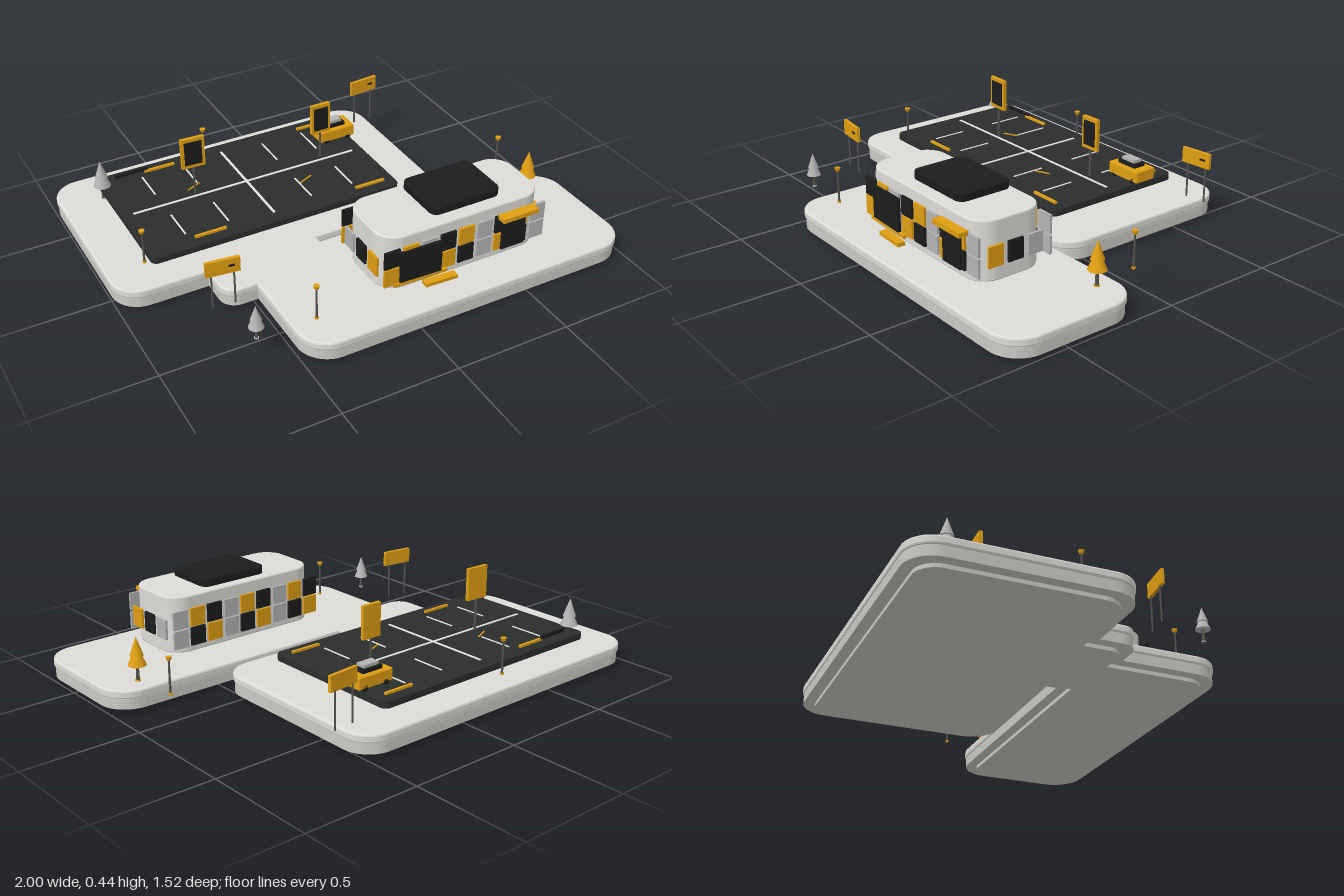
import * as THREE from 'three';

const mat = (color) => new THREE.MeshStandardMaterial({ color });
const gold = mat(0xe09f12), dark = mat(0x1c1c1c), asphalt = mat(0x2b2d2d), grey = mat(0xb4b4b4);
const white = mat(0xe4e4e0), stone = mat(0xdedcd8), stoneLow = mat(0xcccac5), metal = mat(0x55534e);

export function createModel() {
  const root = new THREE.Group();

  const add = (name, geometry, material, x = 0, y = 0, z = 0, parent = root) => {
    const m = new THREE.Mesh(geometry, material);
    m.name = name;
    m.position.set(x, y, z);
    parent.add(m);
    return m;
  };
  const box = (name, material, w, h, d, x, y, z, parent) =>
    add(name, new THREE.BoxGeometry(w, h, d), material, x, y, z, parent);
  const group = (name, x, y, z, turn = 0) => {
    const g = new THREE.Group();
    g.name = name;
    g.position.set(x, y, z);
    g.rotation.y = turn;
    root.add(g);
    return g;
  };

  // Rounded plan outline from corners [x, z, radius], extruded upward
  const slab = (corners, y0, y1, bevel = 0) => {
    const s = new THREE.Shape(), n = corners.length;
    corners.forEach(([x, z, r], i) => {
      const c = new THREE.Vector2(x, -z);
      const toward = (k, d) => {
        const [qx, qz] = corners[(i + k + n) % n];
        return new THREE.Vector2(qx, -qz).sub(c).setLength(d).add(c);
      };
      const a = toward(-1, r), b = toward(1, r), a2 = toward(-1, r * 0.45), b2 = toward(1, r * 0.45);
      i ? s.lineTo(a.x, a.y) : s.moveTo(a.x, a.y);
      if (r > 0) s.bezierCurveTo(a2.x, a2.y, b2.x, b2.y, b.x, b.y);
    });
    s.closePath();
    const g = new THREE.ExtrudeGeometry(s, {
      depth: y1 - y0 - 2 * bevel, curveSegments: 12, bevelEnabled: bevel > 0,
      bevelSize: bevel, bevelThickness: bevel, bevelOffset: -bevel, bevelSegments: 2,
    });
    return g.rotateX(-Math.PI / 2).translate(0, y0 + bevel, 0);
  };
  const rect = (x0, x1, z0, z1, r) => [[x0, z0, r], [x1, z0, r], [x1, z1, r], [x0, z1, r]];

  // Base: two offset terraces joined by a short neck
  const plan = [
    [-1, -0.765, 0.12], [0.53, -0.765, 0.12], [0.53, 0.12, 0.12], [-0.135, 0.12, 0], [-0.135, 0.155, 0],
    [1, 0.155, 0.13], [1, 0.755, 0.13], [-0.49, 0.755, 0.13], [-0.49, 0.29, 0], [-0.63, 0.29, 0.07],
    [-0.63, 0.12, 0], [-1, 0.12, 0.12],
  ];
  const inset = (pts, d) => pts.map(([x, z, r], i) => {
    let px = x, pz = z;
    for (const [a, b] of [[pts.at(i - 1), pts[i]], [pts[i], pts[(i + 1) % pts.length]]]) {
      px -= d * Math.sign(b[1] - a[1]);
      pz += d * Math.sign(b[0] - a[0]);
    }
    return [px, pz, r * 0.75];
  });
  add('baseFoot', slab(inset(plan, 0.05), 0, 0.02), stoneLow);
  add('baseLower', slab(inset(plan, 0.004).map((p, i) => [p[0], p[1], plan[i][2]]), 0.016, 0.06), stoneLow);
  add('baseTop', slab(plan, 0.06, 0.097, 0.008), stone);

  // Parking lot with painted lines and wheel stops
  add('parkingLot', slab(rect(-0.82, 0.335, -0.655, 0.015, 0.03), 0.122, 0.152, 0.003), asphalt);
  box('laneLine', white, 0.011, 0.004, 0.545, -0.245, 0.153, -0.32);
  box('laneLine', white, 1.055, 0.004, 0.011, -0.243, 0.153, -0.32);
  for (const x of [-0.635, -0.44, -0.05, 0.15])
    for (const z of [-0.49, -0.16]) box('bayLine', white, 0.007, 0.004, 0.155, x, 0.153, z);
  for (const x of [-0.54, 0.215])
    for (const z of [-0.6, 0.04 - 0.08]) box('wheelStop', gold, 0.14, 0.01, 0.012, x, 0.157, z);
  box('barrier', dark, 0.15, 0.014, 0.012, -0.67, 0.167, -0.605).rotation.y = 0.03;
  for (const [x, z] of [[-0.465, -0.39], [-0.01, -0.21]])
    box('groundArrow', gold, 0.07, 0.004, 0.006, x, 0.154, z).rotation.y = 0.42;

  // Building
  add('buildingBody', slab(rect(-0.105, 0.637, 0.305, 0.615, 0.09), 0.125, 0.37, 0.006), stone);
  add('roofUnit', slab(rect(0.14, 0.46, 0.325, 0.57, 0.035), 0.378, 0.412, 0.004), dark);
  const upper = [dark, gold, grey], lower = [gold, dark, grey];
  for (let i = 0; i < 9; i++)
    for (const z of [0.288, 0.62]) {
      const x = -0.072 + i * 0.085;
      box('upperPanel', upper[i % 3], 0.07, 0.078, 0.01, x, 0.282, z);
      box('lowerPanel', lower[i % 3], 0.07, 0.078, 0.01, x, 0.198, z);
    }
  [grey, dark, gold].forEach((m, i) => {
    for (const x of [-0.114, 0.647]) box('sidePanel', m, 0.01, 0.085, 0.068, x, 0.234, 0.367 + i * 0.091);
  });

  // Shop window, step, door and awning on the front
  box('windowSill', gold, 0.24, 0.014, 0.015, 0.055, 0.156, 0.626).rotation.y = -0.03;
  box('shopWindow', dark, 0.185, 0.14, 0.014, 0.052, 0.236, 0.63).rotation.y = -0.04;
  box('frontStep', gold, 0.142, 0.016, 0.033, 0.128, 0.142, 0.658).rotation.y = -0.05;
  box('door', dark, 0.11, 0.148, 0.012, 0.488, 0.234, 0.628);
  box('awning', gold, 0.168, 0.02, 0.043, 0.498, 0.32, 0.643);

  // Car
  const car = group('car', 0.267, 0, -0.478);
  add('carBody', slab(rect(-0.087, 0.087, -0.052, 0.052, 0.006), 0.162, 0.215, 0.005), gold, 0, 0, 0, car);
  box('carCabin', dark, 0.1, 0.018, 0.06, -0.002, 0.223, 0, car);
  box('carRoof', grey, 0.075, 0.014, 0.042, -0.002, 0.238, 0, car);
  for (const x of [-0.055, 0.055])
    for (const z of [-0.045, 0.045])
      add('wheel', new THREE.CylinderGeometry(0.014, 0.014, 0.014, 12).rotateX(Math.PI / 2), dark, x, 0.165, z, car);

  // Upright billboards standing on the lot
  for (const [x, z, top, turn, w] of [[-0.482, -0.333, 0.437, -0.05, 0.105], [0.138, -0.353, 0.418, 0.02, 0.092]]) {
    const b = group('billboard', x, 0, z, turn);
    box('billboardPanel', gold, w, 0.142, 0.016, 0, top - 0.071, 0, b);
    box('billboardFace', dark, w * 0.74, 0.11, 0.004, 0, top - 0.071, 0.009, b);
    add('billboardPost', new THREE.CylinderGeometry(0.005, 0.005, top - 0.285, 8), metal, 0, (top + 0.015) / 2, 0, b);
  }

  // Two-legged sign boards
  for (const [x, z, turn] of [[-0.66, 0.352, -0.12], [0.51, -0.618, 0.1]]) {
    const s = group('signBoard', x, 0, z, turn);
    box('signPanel', gold, 0.14, 0.066, 0.014, 0, 0.285, 0, s);
    box('signMark', dark, 0.026, 0.009, 0.004, 0.035, 0.287, 0.007, s);
    for (const lx of [-0.046, 0.046])
      add('signLeg', new THREE.CylinderGeometry(0.004, 0.004, 0.16, 8), metal, lx, 0.177, -0.004, s);
  }

  // Trees: trunk and two stacked cones
  for (const [x, z, m, k] of [[-0.815, -0.575, grey, 1], [-0.63, 0.572, grey, 0.82], [0.85, 0.24, gold, 1]]) {
    const t = group('tree', x, k < 1 ? 0.085 : 0.097, z);
    t.scale.setScalar(k);
    add('treeFoot', new THREE.CylinderGeometry(0.012, 0.012, 0.005, 12), m, 0, 0.003, 0, t);
    add('treeTrunk', new THREE.CylinderGeometry(0.006, 0.008, 0.08, 8), metal, 0, 0.04, 0, t);
    add('treeLower', new THREE.CylinderGeometry(0.01, 0.038, 0.065, 14), m, 0, 0.1, 0, t);
    add('treeUpper', new THREE.ConeGeometry(0.028, 0.08, 14), m, 0, 0.148, 0, t);
  }

  // Lamp posts
  for (const [x, z] of [[-0.3, -0.66], [-0.83, -0.055], [0.83, 0.037], [-0.385, 0.592]]) {
    const l = group('lamp', x, 0.097, z);
    add('lampPost', new THREE.CylinderGeometry(0.004, 0.005, 0.148, 8), metal, 0, 0.074, 0, l);
    add('lampHead', new THREE.CylinderGeometry(0.013, 0.009, 0.014, 10), gold, 0, 0.152, 0, l);
    add('lampFoot', new THREE.CylinderGeometry(0.008, 0.008, 0.008, 10), gold, 0, 0.004, 0, l);
  }
  return root;
}
